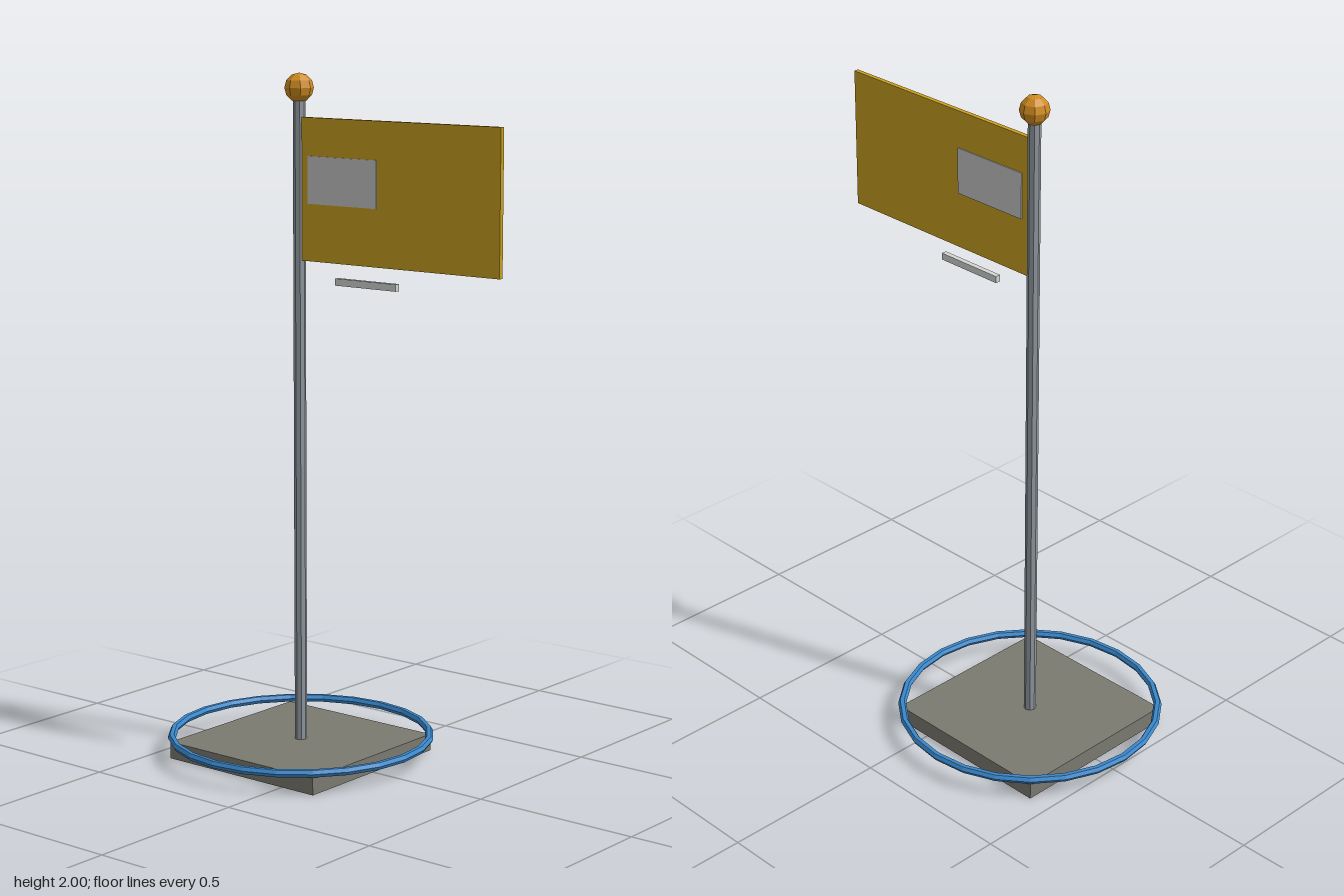
import * as THREE from 'three';

const POLE_X = -0.158;

function material(name, color) {
  const m = new THREE.MeshStandardMaterial({ color });
  m.name = name;
  return m;
}

// Non-indexed geometry with face normals gives crisp facets
function faceted(geometry) {
  const g = geometry.index ? geometry.toNonIndexed() : geometry;
  g.computeVertexNormals();
  return g;
}

export function createModel() {
  const group = new THREE.Group();
  group.name = 'flagpole';

  const stone = material('stone grey', 0x7b7a70);
  const steel = material('steel grey', 0x8f979e);
  const blue = material('ring blue', 0x3a88cc);
  const gold = material('finial gold', 0xd08c20);
  const yellow = material('flag yellow', 0xc9a020);
  const silver = material('panel silver', 0xc8c8c8);
  const pale = material('bar pale grey', 0xd4d6d4);

  const add = (name, geometry, mat, x, y, z = 0) => {
    const mesh = new THREE.Mesh(faceted(geometry), mat);
    mesh.name = name;
    mesh.position.set(x, y, z);
    group.add(mesh);
    return mesh;
  };

  // Square base slab
  add('base', new THREE.BoxGeometry(0.545, 0.05, 0.545), stone, POLE_X, 0.025);

  // Thin hoop lying just above the base
  const hoop = new THREE.TorusGeometry(0.381, 0.012, 6, 24).rotateX(-Math.PI / 2);
  add('groundRing', hoop, blue, POLE_X, 0.063);

  // Pole and ball finial
  add('pole', new THREE.CylinderGeometry(0.018, 0.018, 1.89, 8), steel, POLE_X, 0.985);
  add('finial', new THREE.SphereGeometry(0.042, 8, 6), gold, POLE_X, 1.958);

  // Flag board
  add('flag', new THREE.BoxGeometry(0.695, 0.407, 0.014), yellow, 0.2025, 1.6725);

  // Thin panel on each face of the flag
  for (const side of [1, -1]) {
    const name = side > 0 ? 'frontPanel' : 'backPanel';
    add(name, new THREE.BoxGeometry(0.247, 0.135, 0.003), silver, 0.004, 1.7, side * 0.0085);
  }

  // Small bar below the flag
  add('lowerBar', new THREE.BoxGeometry(0.217, 0.02, 0.016), pale, 0.088, 1.417);

  return group;
}
